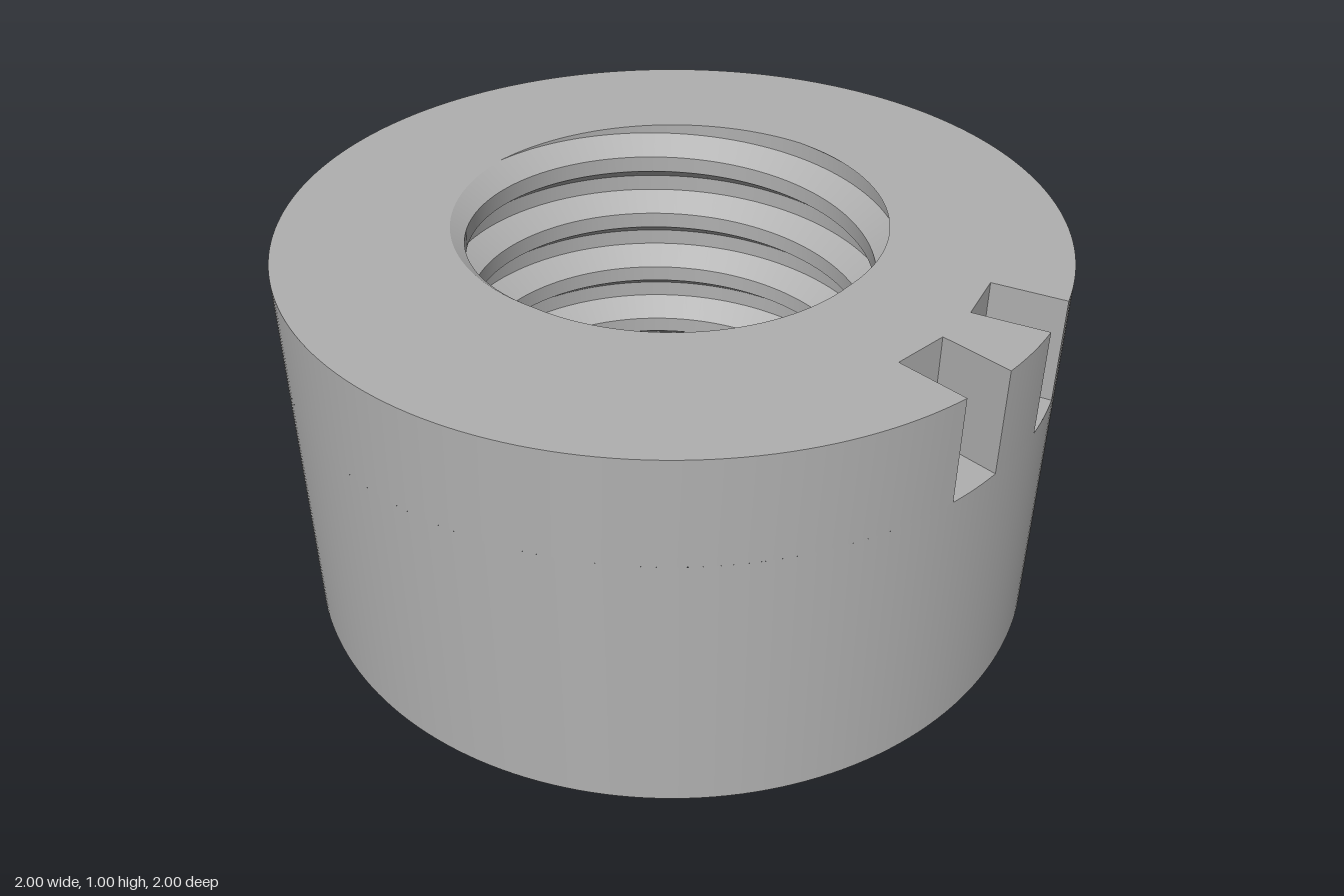
import * as THREE from 'three';
import { mergeGeometries, toCreasedNormals } from 'three/addons/utils/BufferGeometryUtils.js';

const H = 1, FLOOR = 0.72;              // nut height, notch floor
const MINOR = 0.525, MAJOR = 0.59, PITCH = 0.18;
const SEG = 192, DEG = Math.PI / 180;
const NOTCH_R = 0.81, NOTCH_HALF = 0.076, NOTCH_ANGLES = [-10, 10];
const NOTCH_SPREAD = Math.asin(NOTCH_HALF) / DEG;

// Plan point at a radius and an angle in degrees (plan y becomes -z)
const polar = (r, deg) => new THREE.Vector2(r * Math.cos(deg * DEG), r * Math.sin(deg * DEG));
const arc = (from, to, n) =>
  Array.from({ length: n + 1 }, (_, i) => polar(1, from + (to - from) * i / n));
const notchCorners = (deg) => [-1, 1].map((s) =>
  new THREE.Vector2(NOTCH_R, s * NOTCH_HALF).rotateAround(new THREE.Vector2(), deg * DEG));

// Right-handed trapezoidal groove: height of its centre, and bore radius at any point
const grooveY = (deg) => H + PITCH * (deg - 135) / 360;
function boreRadius(deg, y) {
  const t = (y - grooveY(deg)) / PITCH;
  const d = Math.abs(t - Math.round(t));      // 0 at groove centre, 0.5 at crest centre
  const k = THREE.MathUtils.clamp((d - 0.125) / 0.25, 0, 1);
  return MAJOR + (MINOR - MAJOR) * k;
}

// Vertical wall along a closed counter-clockwise plan contour
function wall(points, y0, y1) {
  const pos = [];
  points.forEach((p, i) => {
    const q = points[(i + 1) % points.length];
    pos.push(p.x, y0, -p.y, q.x, y0, -q.y, q.x, y1, -q.y);
    pos.push(p.x, y0, -p.y, q.x, y1, -q.y, p.x, y1, -p.y);
  });
  const g = new THREE.BufferGeometry();
  g.setAttribute('position', new THREE.Float32BufferAttribute(pos, 3));
  return toCreasedNormals(g, 0.5);
}

// One helical strip of the thread between two offsets from the groove centre
function threadStrip(lo, hi, dr) {
  const pos = [], nor = [], idx = [];
  const len = Math.hypot(dr, hi - lo);
  for (let i = 0; i <= SEG; i++) {
    const deg = 360 * i / SEG, c = Math.cos(deg * DEG), s = Math.sin(deg * DEG);
    for (const off of [lo, hi]) {
      const y = THREE.MathUtils.clamp(grooveY(deg) + off, 0, H);
      const r = boreRadius(deg, y);
      pos.push(r * c, y, -r * s);
      nor.push(-c * (hi - lo) / len, dr / len, s * (hi - lo) / len);
    }
    if (i < SEG) {
      const a = 2 * i;
      idx.push(a, a + 3, a + 2, a, a + 1, a + 3);
    }
  }
  const g = new THREE.BufferGeometry();
  g.setAttribute('position', new THREE.Float32BufferAttribute(pos, 3));
  g.setAttribute('normal', new THREE.Float32BufferAttribute(nor, 3));
  g.setIndex(idx);
  return g;
}

function threadGeometry() {
  const depth = MAJOR - MINOR, strips = [];
  // start and end of each strip in pitches, with its change of radius
  const profile = [[-0.375, -0.125, depth], [-0.125, 0.125, 0], [0.125, 0.375, -depth], [0.375, 0.625, 0]];
  for (let n = -8; n <= 2; n++) {
    for (const [a, b, dr] of profile) strips.push(threadStrip((n + a) * PITCH, (n + b) * PITCH, dr));
  }
  return mergeGeometries(strips);
}

export function createModel() {
  const group = new THREE.Group();
  const steel = new THREE.MeshStandardMaterial({ color: 0xb0b0b0 });
  steel.name = 'steel grey';
  const add = (name, geometry) => {
    const mesh = new THREE.Mesh(geometry, steel);
    mesh.name = name;
    group.add(mesh);
    return mesh;
  };

  // Upper outline, with two notches cut in from the rim
  const outline = [];
  NOTCH_ANGLES.forEach((deg, i) => {
    const next = i === 0 ? NOTCH_ANGLES[1] : NOTCH_ANGLES[0] + 360;
    outline.push(...notchCorners(deg), ...arc(deg + NOTCH_SPREAD, next - NOTCH_SPREAD, i === 0 ? 6 : 176));
  });

  // Outer walls
  add('lowerOuterWall', new THREE.CylinderGeometry(1, 1, FLOOR, SEG, 1, true)).position.y = FLOOR / 2;
  add('upperOuterWall', wall(outline, FLOOR, H));

  // Notch floors
  for (const deg of NOTCH_ANGLES) {
    const [a, b] = notchCorners(deg);
    const shape = new THREE.Shape([a, ...arc(deg - NOTCH_SPREAD, deg + NOTCH_SPREAD, 6), b]);
    add('notchFloor', new THREE.ShapeGeometry(shape).rotateX(-Math.PI / 2)).position.y = FLOOR;
  }

  // End faces, opened where the thread runs out
  const boreOutline = (y, sign) => Array.from({ length: SEG }, (_, i) =>
    polar(boreRadius(360 * i / SEG, y), sign * 360 * i / SEG));
  const top = new THREE.Shape(outline);
  top.holes.push(new THREE.Path(boreOutline(H, 1)));
  add('topFace', new THREE.ShapeGeometry(top).rotateX(-Math.PI / 2)).position.y = H;

  const bottom = new THREE.Shape(arc(0, 360, SEG).slice(0, SEG));
  bottom.holes.push(new THREE.Path(boreOutline(0, -1)));
  add('bottomFace', new THREE.ShapeGeometry(bottom).rotateX(Math.PI / 2));

  // Threaded bore
  add('threadedBore', threadGeometry());
  return group;
}
